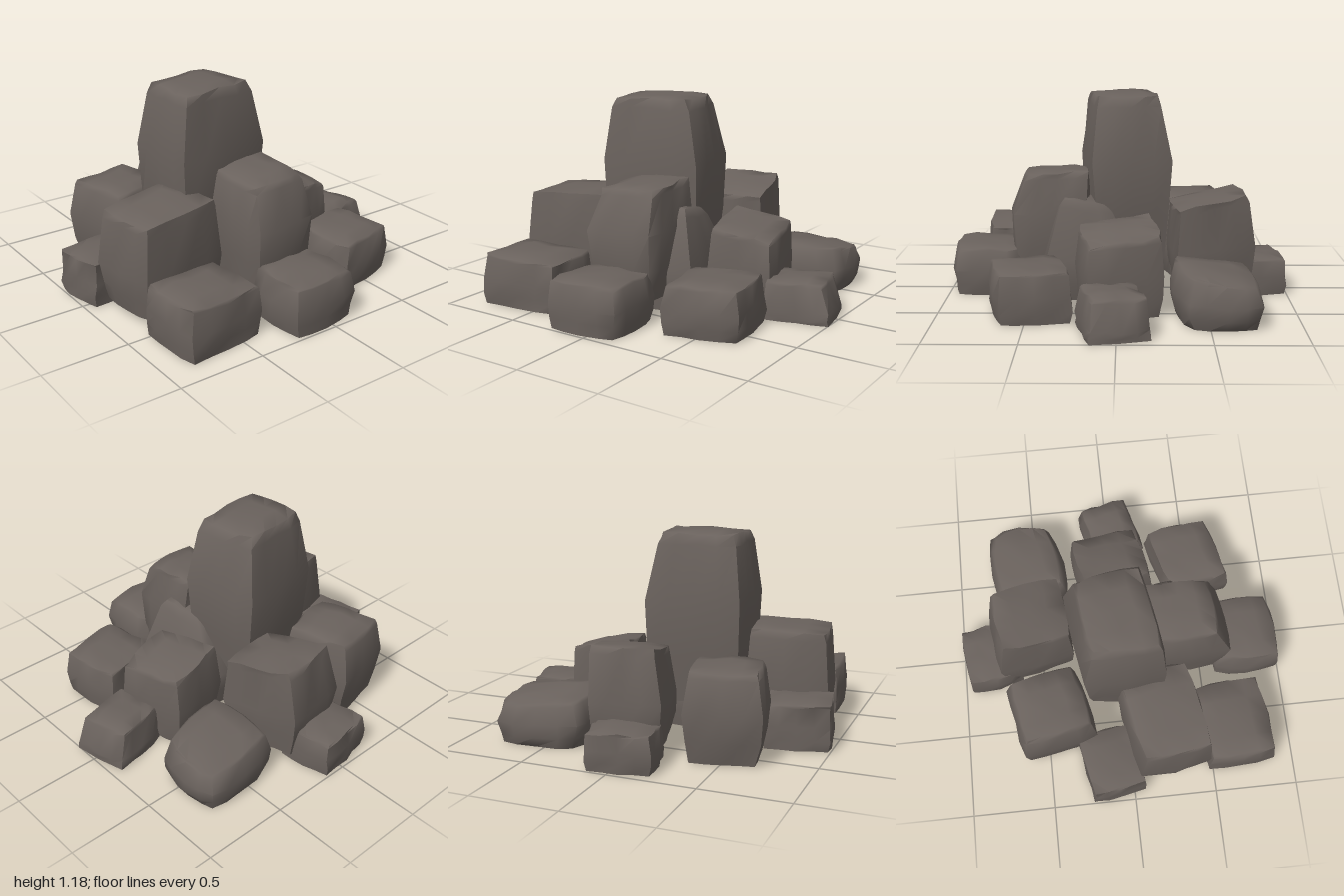
import * as THREE from 'three';
import { mergeVertices, toCreasedNormals } from 'three/addons/utils/BufferGeometryUtils.js';

// Small seeded generator for the uneven chiselled surfaces
function seeded(seed) {
  let s = seed * 7919 + 17;
  return () => {
    s = (s * 16807) % 2147483647;
    return s / 2147483647 - 0.5;
  };
}

// Plan corners run: back -x, back +x, front +x, front -x, at the widest level.
// mid: height fraction of the widest level; top, bottom: plan scale at the ends;
// shoulder: share of the top taper reached just below the top;
// cut: how far the upright edges are blunted;
// tilt: top height change to +x, +z; lean: shift of the top along x, z.
function rockGeometry({ plan, y0, y1, mid = 0.5, top = 0.86, bottom = 0.92, shoulder = 0.65, cut = 0.06, tilt = [0, 0], lean = [0, 0] }, seed) {
  const rnd = seeded(seed);
  const box = new THREE.BoxGeometry(2, 2, 2, 4, 4, 4);
  box.deleteAttribute('uv');
  box.deleteAttribute('normal');
  const geo = mergeVertices(box);
  const pos = geo.attributes.position;
  const heights = [0, mid * 0.45, mid, mid + (1 - mid) * 0.82, 1];
  const scales = [bottom, (bottom + 1) / 2 + 0.02, 1, 1 + (top - 1) * shoulder, top];
  const leans = [0, 0, 0, shoulder, 1];
  const cx = plan.reduce((a, p) => a + p[0], 0) / 4;
  const cz = plan.reduce((a, p) => a + p[1], 0) / 4;
  for (let i = 0; i < pos.count; i++) {
    const u = pos.getX(i), v = pos.getZ(i);
    const level = Math.round((pos.getY(i) + 1) * 2);
    const weights = [(1 - u) * (1 - v), (1 + u) * (1 - v), (1 + u) * (1 + v), (1 - u) * (1 + v)];
    let x = 0, z = 0;
    weights.forEach((w, k) => {
      x += plan[k][0] * w / 4;
      z += plan[k][1] * w / 4;
    });
    // Blunt the upright edges and swell the side faces slightly
    const edge = Math.max(Math.abs(u), Math.abs(v));
    const s = scales[level] * (1 + 0.02 * edge - cut * u * u * v * v);
    const h = heights[level];
    let y = y0 + (y1 - y0) * h + (tilt[0] * u + tilt[1] * v) * h;
    if (level === 4) y -= 0.015 * edge ** 4;
    const ground = level === 0 && y0 === 0;
    pos.setXYZ(i,
      cx + (x - cx) * s + lean[0] * leans[level] + rnd() * 0.016,
      ground ? 0 : y + rnd() * 0.016,
      cz + (z - cz) * s + lean[1] * leans[level] + rnd() * 0.016);
  }
  return toCreasedNormals(geo, 1.2);
}

const rocks = {
  summitRock: { plan: [[-0.48, -0.25], [0.09, -0.33], [0.17, 0.15], [-0.46, 0.24]], y0: 0.2, y1: 1.175, mid: 0.6, top: 0.74, bottom: 0.82, shoulder: 0.75, lean: [-0.015, 0.015] },
  upperFrontRock: { plan: [[-0.27, 0.19], [0.16, 0.17], [0.16, 0.62], [-0.25, 0.65]], y0: 0.1, y1: 0.73, mid: 0.6, top: 0.8, bottom: 0.84, shoulder: 0.8, tilt: [0.01, -0.01], lean: [0, -0.05] },
  lowerFrontRock: { plan: [[-0.27, 0.57], [0.17, 0.54], [0.19, 0.97], [-0.28, 1.01]], y0: 0, y1: 0.29, top: 0.85, bottom: 0.93, cut: 0.12 },
  frontRightRock: { plan: [[-0.88, 0.46], [-0.39, 0.41], [-0.36, 0.82], [-0.85, 0.88]], y0: 0, y1: 0.3, top: 0.92, bottom: 0.96, tilt: [-0.01, 0] },
  frontLeftRock: { plan: [[0.27, 0.34], [0.68, 0.23], [0.74, 0.64], [0.31, 0.75]], y0: 0, y1: 0.29, top: 0.9, bottom: 0.94 },
  upperRightRock: { plan: [[-0.92, 0.04], [-0.38, -0.07], [-0.29, 0.37], [-0.86, 0.48]], y0: 0.05, y1: 0.61, mid: 0.4, top: 0.88, bottom: 0.88, tilt: [0.015, 0] },
  outerRightRock: { plan: [[-1, -0.25], [-0.63, -0.32], [-0.57, 0.0], [-0.95, 0.07]], y0: 0, y1: 0.27, top: 0.95, bottom: 0.98 },
  backRightRock: { plan: [[-0.74, -0.64], [-0.3, -0.73], [-0.21, -0.29], [-0.64, -0.18]], y0: 0, y1: 0.51, mid: 0.55, top: 0.82, bottom: 0.82 },
  upperBackRock: { plan: [[-0.21, -0.75], [0.21, -0.81], [0.32, -0.34], [-0.12, -0.29]], y0: 0.05, y1: 0.59, mid: 0.45, top: 0.86, bottom: 0.86, shoulder: 0.75, tilt: [0, -0.035], lean: [0.02, 0.02] },
  lowerBackRock: { plan: [[-0.24, -0.95], [0.13, -1], [0.18, -0.68], [-0.18, -0.62]], y0: 0, y1: 0.225, top: 0.92, bottom: 0.96 },
  backLeftRock: { plan: [[0.27, -0.76], [0.82, -0.81], [0.83, -0.36], [0.3, -0.26]], y0: 0, y1: 0.275, top: 0.82, bottom: 0.88, cut: 0.16, tilt: [-0.01, 0.02] },
  upperLeftRock: { plan: [[0.2, -0.2], [0.58, -0.27], [0.66, 0.16], [0.29, 0.25]], y0: 0, y1: 0.475, mid: 0.5, top: 0.9, bottom: 0.88, tilt: [-0.03, -0.02] },
  outerLeftRock: { plan: [[0.59, -0.1], [0.94, -0.19], [1.01, 0.14], [0.65, 0.23]], y0: 0, y1: 0.225, mid: 0.25, top: 0.84, bottom: 1, shoulder: 0.8, lean: [-0.03, 0] },
  coreRock: { plan: [[-0.18, -0.12], [0.22, -0.12], [0.31, 0.42], [-0.2, 0.44]], y0: 0, y1: 0.58, mid: 0.4, top: 0.42, bottom: 0.92, shoulder: 0.75, tilt: [0, 0.02], lean: [0.03, 0.04] },
};

export function createModel() {
  const group = new THREE.Group();
  group.name = 'rockPile';
  const stone = new THREE.MeshStandardMaterial({ color: 0x6a625d });
  stone.name = 'warm grey stone';
  Object.entries(rocks).forEach(([name, spec], i) => {
    const mesh = new THREE.Mesh(rockGeometry(spec, i + 1), stone);
    mesh.name = name;
    group.add(mesh);
  });
  return group;
}
